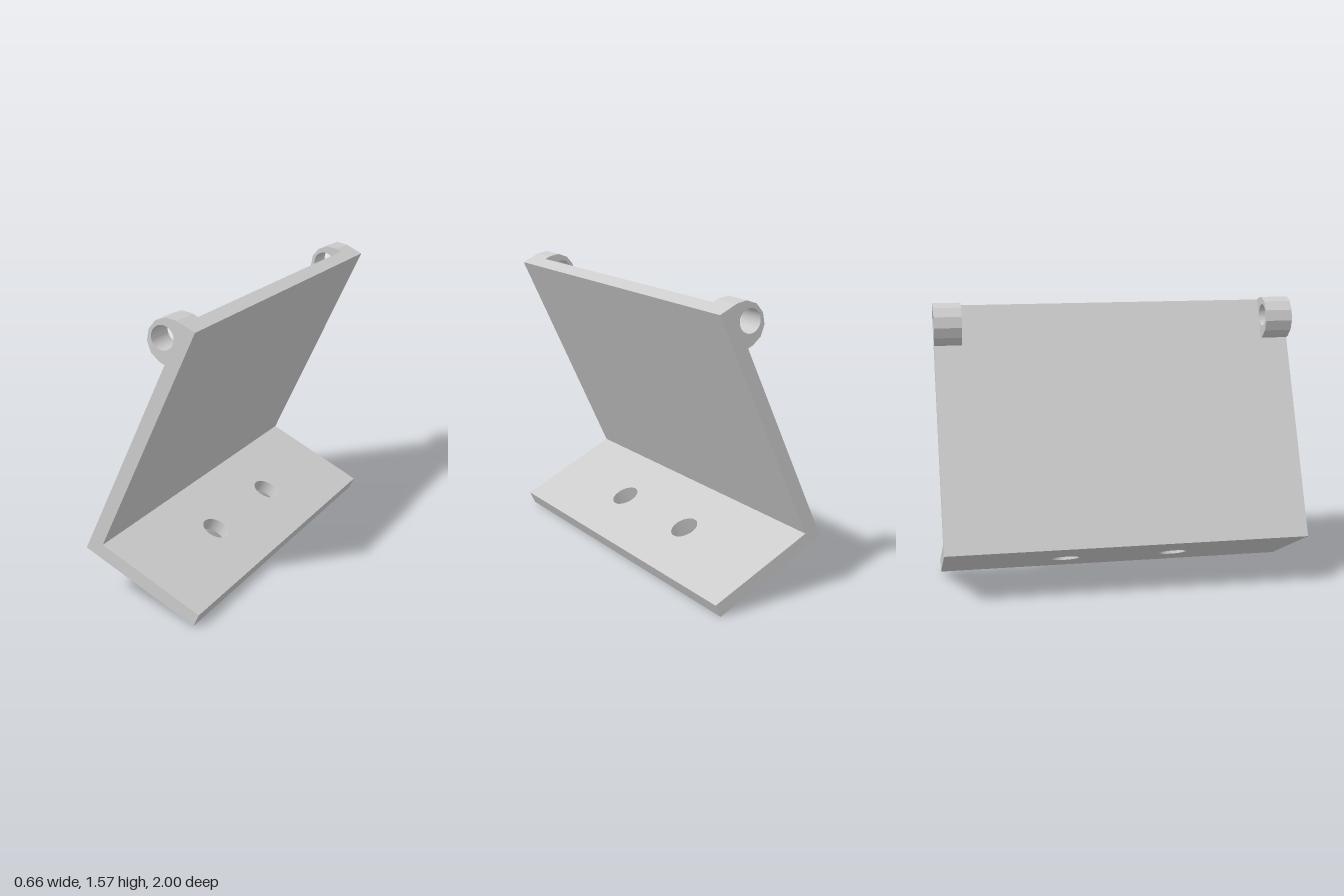
import * as THREE from 'three';

const T = 0.075;       // plate thickness
const HEIGHT = 1.383;  // panel height along its slope
const DEPTH = 0.689;   // foot length along its slope
const material = new THREE.MeshStandardMaterial({ color: 0xcccccc, flatShading: true });

function addMesh(parent, geometry, name) {
  const mesh = new THREE.Mesh(geometry, material);
  mesh.name = name;
  parent.add(mesh);
  return mesh;
}

function circleHole(x, y, r) {
  return new THREE.Path().absarc(x, y, r, 0, Math.PI * 2, true);
}

export function createModel() {
  const model = new THREE.Group();
  model.name = 'hingedBracket';

  // Everything is built square to the bracket, then tilted as one
  const bracket = new THREE.Group();
  bracket.name = 'bracket';
  bracket.rotation.z = -25 * Math.PI / 180;
  bracket.position.set(-0.328, 0.291, 0);
  model.add(bracket);

  // Tall panel
  addMesh(bracket, new THREE.BoxGeometry(T, HEIGHT, 2).translate(T / 2, HEIGHT / 2, 0), 'panel');

  // Foot plate with two screw holes
  const foot = new THREE.Shape([[T, -1], [DEPTH, -1], [DEPTH, 1], [T, 1]].map(([x, y]) => new THREE.Vector2(x, y)));
  for (const s of [-1, 1]) foot.holes.push(circleHole(0.382, s * 0.31, 0.076));
  const footGeometry = new THREE.ExtrudeGeometry(foot, { depth: T, bevelEnabled: false, curveSegments: 24 });
  addMesh(bracket, footGeometry.rotateX(-Math.PI / 2), 'footPlate');

  // Rounded hinge lugs at both ends of the top edge, each with an off-centre pin hole
  const r = 0.115, cx = -0.03, cy = HEIGHT - r, steps = 6;
  const lug = new THREE.Shape();
  lug.moveTo(0, cy - r);
  lug.lineTo(0, HEIGHT);
  for (let i = 0; i <= steps; i++) {
    const a = Math.PI / 2 + i / steps * Math.PI;
    lug.lineTo(cx + r * Math.cos(a), cy + r * Math.sin(a));
  }
  lug.closePath();
  lug.holes.push(circleHole(-0.064, cy, 0.061));
  const lugGeometry = new THREE.ExtrudeGeometry(lug, { depth: 0.15, bevelEnabled: false, curveSegments: 20 });
  addMesh(bracket, lugGeometry, 'frontLug').position.z = 0.85;
  addMesh(bracket, lugGeometry, 'backLug').position.z = -1;

  return model;
}
